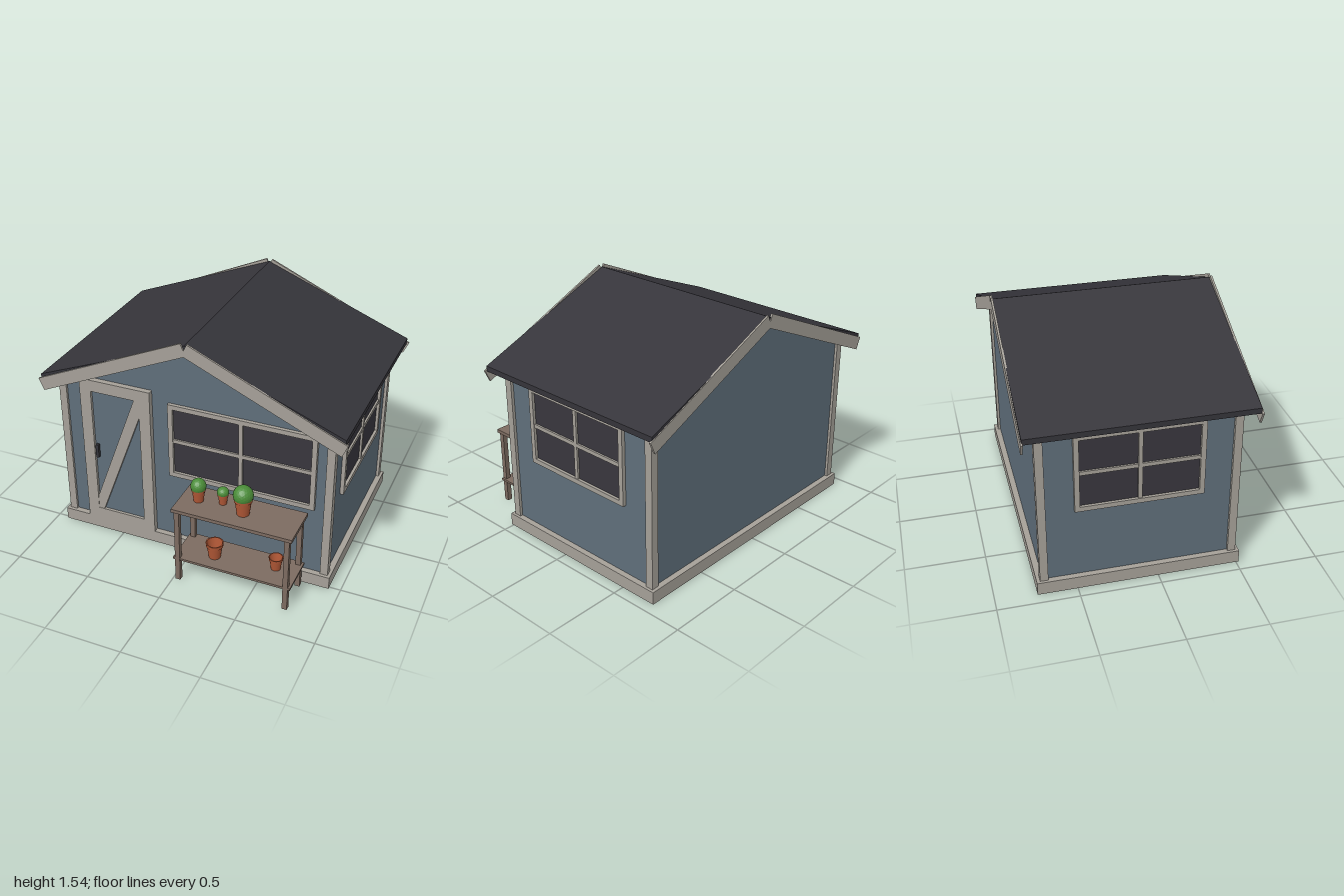
import * as THREE from 'three';

const mat = (name, color, extra = {}) => {
  const m = new THREE.MeshStandardMaterial({ color, ...extra });
  m.name = name;
  return m;
};

export function createModel() {
  const trim = mat('trim', 0xa5a098);
  const siding = mat('siding', 0x5f6e7a);
  const roofing = mat('roofing', 0x35343a);
  const glass = mat('glass', 0x38363d);
  const wood = mat('wood', 0x7c6b60);
  const clay = mat('terracotta', 0xb25836, { side: THREE.DoubleSide });
  const leaf = mat('leaf', 0x4a8c38, { flatShading: true });
  const iron = mat('iron', 0x34343a);

  const model = new THREE.Group();
  model.name = 'gardenShed';

  const add = (parent, name, geo, material, x = 0, y = 0, z = 0) => {
    const m = new THREE.Mesh(geo, material);
    m.name = name;
    m.position.set(x, y, z);
    parent.add(m);
    return m;
  };
  // Box given by its minimum and maximum on each axis
  const box = (parent, name, material, [x0, x1], [y0, y1], [z0, z1]) =>
    add(parent, name, new THREE.BoxGeometry(x1 - x0, y1 - y0, z1 - z0), material,
      (x0 + x1) / 2, (y0 + y1) / 2, (z0 + z1) / 2);
  // Outline in x and y, extruded from z0 to z1
  const prism = (parent, name, material, pts, z0, z1) => {
    const shape = new THREE.Shape(pts.map(p => new THREE.Vector2(...p)));
    const geo = new THREE.ExtrudeGeometry(shape, { depth: z1 - z0, bevelEnabled: false });
    return add(parent, name, geo, material, 0, 0, z0);
  };

  // Base and gabled walls
  const midZ = -0.114;
  box(model, 'base', trim, [-0.927, 0.927], [0, 0.083], [-0.745, 0.517]);
  prism(model, 'walls', siding,
    [[-0.89, 0.08], [0.89, 0.08], [0.89, 1.12], [0, 1.475], [-0.89, 1.12]], -0.707, 0.48);

  for (const s of [-1, 1]) {
    // Corner posts
    for (const e of [-1, 1]) {
      const post = box(model, 'cornerPost', trim, [-0.025, 0.025], [0.08, 1.11], [-0.025, 0.025]);
      post.position.x = s * 0.884;
      post.position.z = midZ + e * 0.585;
    }
    // Roof slopes
    const slope = [[0, 1.485], [0.985, 1.095], [0.985, 1.13], [0, 1.52]];
    prism(model, 'roofSlope', roofing, slope.map(([x, y]) => [s * x, y]), -0.799, 0.57);
    // Bargeboards at both gables
    for (const z of [0.5735, -0.7985]) {
      const a = new THREE.Vector2(0.0025, 1.497), b = new THREE.Vector2(0.983, 1.0625);
      const d = b.clone().sub(a);
      const board = add(model, 'bargeboard', new THREE.BoxGeometry(d.length(), 0.084, 0.013), trim,
        s * (a.x + b.x) / 2, (a.y + b.y) / 2, z);
      board.rotation.z = s * Math.atan2(d.y, d.x);
    }
  }

  // Four-pane window, centred on its own x, facing +z
  const makeWindow = (name, w, y0, y1) => {
    const g = new THREE.Group();
    g.name = name;
    const h = w / 2, t = 0.031, m = 0.0125, ym = (y0 + y1) / 2;
    box(g, 'glass', glass, [-h + t, h - t], [y0 + t, y1 - t], [-0.005, 0.004]);
    for (const s of [-1, 1]) {
      const jamb = box(g, 'jamb', trim, [-t / 2, t / 2], [y0, y1], [-0.01, 0.022]);
      jamb.position.x = s * (h - t / 2);
    }
    box(g, 'sill', trim, [-h + t, h - t], [y0, y0 + t], [-0.01, 0.022]);
    box(g, 'head', trim, [-h + t, h - t], [y1 - t, y1], [-0.01, 0.022]);
    box(g, 'mullion', trim, [-m, m], [y0 + t, y1 - t], [-0.01, 0.017]);
    box(g, 'glazingBar', trim, [-h + t, h - t], [ym - m, ym + m], [-0.01, 0.016]);
    model.add(g);
    return g;
  };
  makeWindow('frontWindow', 0.953, 0.55, 1.065).position.set(0.324, 0, 0.482);
  for (const s of [-1, 1]) {
    const side = makeWindow('sideWindow', 0.78, 0.55, 1.062);
    side.position.set(s * 0.892, 0, midZ);
    side.rotation.y = s * Math.PI / 2;
  }

  // Ledged door with a diagonal brace
  const door = new THREE.Group();
  door.name = 'door';
  model.add(door);
  const dz = [0.475, 0.517];
  box(door, 'doorPanel', siding, [-0.68, -0.335], [0.15, 1.05], [0.475, 0.498]);
  box(door, 'leftStile', trim, [-0.75, -0.673], [0.08, 1.125], dz);
  box(door, 'rightStile', trim, [-0.34, -0.265], [0.08, 1.125], dz);
  box(door, 'topRail', trim, [-0.673, -0.34], [1.047, 1.125], dz);
  box(door, 'bottomRail', trim, [-0.673, -0.34], [0.08, 0.16], dz);
  prism(door, 'brace', trim,
    [[-0.673, 0.16], [-0.635, 0.16], [-0.34, 0.935], [-0.34, 1.047], [-0.375, 1.047], [-0.673, 0.255]],
    0.48, 0.514);
  box(door, 'handle', iron, [-0.655, -0.635], [0.575, 0.67], [0.515, 0.535]);

  // Potting bench
  const bench = new THREE.Group();
  bench.name = 'pottingBench';
  model.add(bench);
  box(bench, 'benchTop', wood, [0, 0.77], [0.513, 0.536], [0.519, 0.804]);
  box(bench, 'shelf', wood, [0.002, 0.768], [0.153, 0.168], [0.532, 0.797]);
  for (const x of [0.032, 0.738])
    for (const z of [0.552, 0.782])
      box(bench, 'benchLeg', wood, [x - 0.016, x + 0.016], [0, 0.514], [z - 0.016, z + 0.016]);

  // Hollow flower pot with a thick rim, optionally planted
  const makePot = (x, y, z, r, h, plantTop) => {
    const g = new THREE.Group();
    g.name = plantTop ? 'plantedPot' : 'emptyPot';
    g.position.set(x, y, z);
    const profile = [[0, 0], [0.66, 0], [0.87, 0.77], [0.95, 0.77], [1, 1], [0.88, 1], [0.6, 0.08], [0, 0.08]];
    // Each straight run of the profile is its own surface, so edges stay sharp
    for (let i = 0; i < profile.length - 1; i++) {
      const run = [profile[i], profile[i + 1]].map(p => new THREE.Vector2(p[0] * r, p[1] * h));
      add(g, 'potSurface', new THREE.LatheGeometry(run, 20), clay);
    }
    if (plantTop) {
      const top = plantTop - y, mid = h * 1.1;
      const bush = add(g, 'bush', new THREE.IcosahedronGeometry(1, 3), leaf, 0, mid, 0);
      bush.scale.set(r * 1.06, top - mid, r * 1.06);
    }
    model.add(g);
  };
  makePot(0.117, 0.536, 0.655, 0.046, 0.096, 0.692);
  makePot(0.265, 0.536, 0.625, 0.035, 0.075, 0.652);
  makePot(0.415, 0.536, 0.673, 0.059, 0.122, 0.732);
  makePot(0.237, 0.168, 0.69, 0.056, 0.107);
  makePot(0.624, 0.168, 0.65, 0.045, 0.086);

  return model;
}
